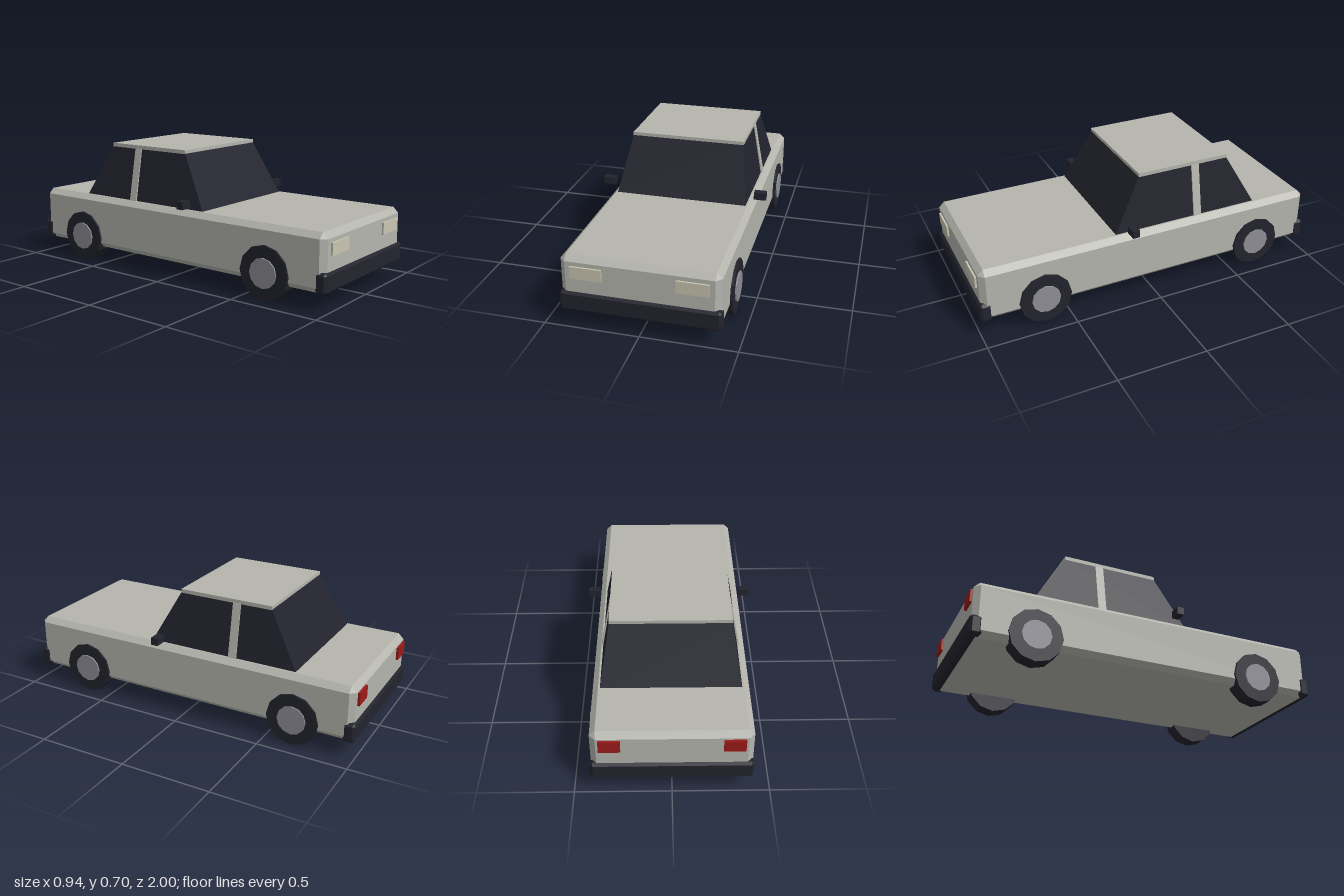
import * as THREE from 'three';
import { ConvexGeometry } from 'three/addons/geometries/ConvexGeometry.js';

const mat = (name, color) => {
  const m = new THREE.MeshStandardMaterial({ color });
  m.name = name;
  return m;
};

// Box with every edge cut at 45 degrees
function chamferedBox(w, h, d, c) {
  const pts = [];
  for (const x of [-1, 1]) for (const y of [-1, 1]) for (const z of [-1, 1]) {
    const a = w / 2, b = h / 2, e = d / 2;
    pts.push(
      new THREE.Vector3(x * a, y * (b - c), z * (e - c)),
      new THREE.Vector3(x * (a - c), y * b, z * (e - c)),
      new THREE.Vector3(x * (a - c), y * (b - c), z * e));
  }
  return new ConvexGeometry(pts);
}

// Solid tapering from a bottom rectangle to a top one: [y, half width, front z, back z]
function taper(bottom, top) {
  const pts = [];
  for (const [y, x, z0, z1] of [bottom, top])
    for (const s of [-1, 1]) pts.push(new THREE.Vector3(s * x, y, z0), new THREE.Vector3(s * x, y, z1));
  return new ConvexGeometry(pts);
}

export function createModel() {
  const car = new THREE.Group();
  car.name = 'car';
  const paint = mat('body paint', 0xb5b5ae);
  const dark = mat('dark glass and rubber', 0x23232e);
  const metal = mat('hub metal', 0x8e8e96);
  const lamp = mat('headlight lens', 0xc9c5b1);
  const red = mat('tail light red', 0x9c1a1a);

  const add = (name, geo, material, x = 0, y = 0, z = 0) => {
    const mesh = new THREE.Mesh(geo, material);
    mesh.name = name;
    mesh.position.set(x, y, z);
    car.add(mesh);
    return mesh;
  };

  // Lower body and cabin
  add('body', chamferedBox(0.816, 0.305, 1.97, 0.03), paint, 0, 0.2425, 0);
  add('cabinGlass', taper([0.39, 0.369, 0.217, -0.653], [0.686, 0.317, 0.055, -0.485]), dark);
  add('doorPillars', taper([0.39, 0.377, -0.262, -0.308], [0.686, 0.322, -0.262, -0.308]), paint);
  add('roof', new THREE.BoxGeometry(0.636, 0.021, 0.54), paint, 0, 0.6945, -0.215);

  // Bumpers
  for (const s of [1, -1])
    add(s > 0 ? 'frontBumper' : 'rearBumper', chamferedBox(0.826, 0.108, 0.066, 0.014), dark, 0, 0.146, s * 0.965);

  const tyre = new THREE.CylinderGeometry(0.145, 0.145, 0.09, 12).toNonIndexed();
  const hub = new THREE.CylinderGeometry(0.08, 0.08, 0.098, 12).toNonIndexed();
  for (const g of [tyre, hub]) {
    g.rotateZ(Math.PI / 2);
    g.computeVertexNormals();
  }

  for (const s of [1, -1]) {
    const side = s > 0 ? 'left' : 'right';
    // Wheels
    for (const [end, z] of [['Front', 0.642], ['Rear', -0.658]]) {
      add(`${side}${end}Tyre`, tyre, dark, s * 0.375, 0.145, z);
      add(`${side}${end}Hub`, hub, metal, s * 0.379, 0.145, z);
    }
    // Lights and mirrors
    add(`${side}Headlight`, new THREE.BoxGeometry(0.164, 0.066, 0.03), lamp, s * 0.269, 0.31, 0.98);
    add(`${side}TailLight`, new THREE.BoxGeometry(0.11, 0.07, 0.03), red, s * 0.31, 0.322, -0.983);
    add(`${side}Mirror`, new THREE.BoxGeometry(0.066, 0.042, 0.04), dark, s * 0.436, 0.434, 0.14);
  }
  return car;
}
